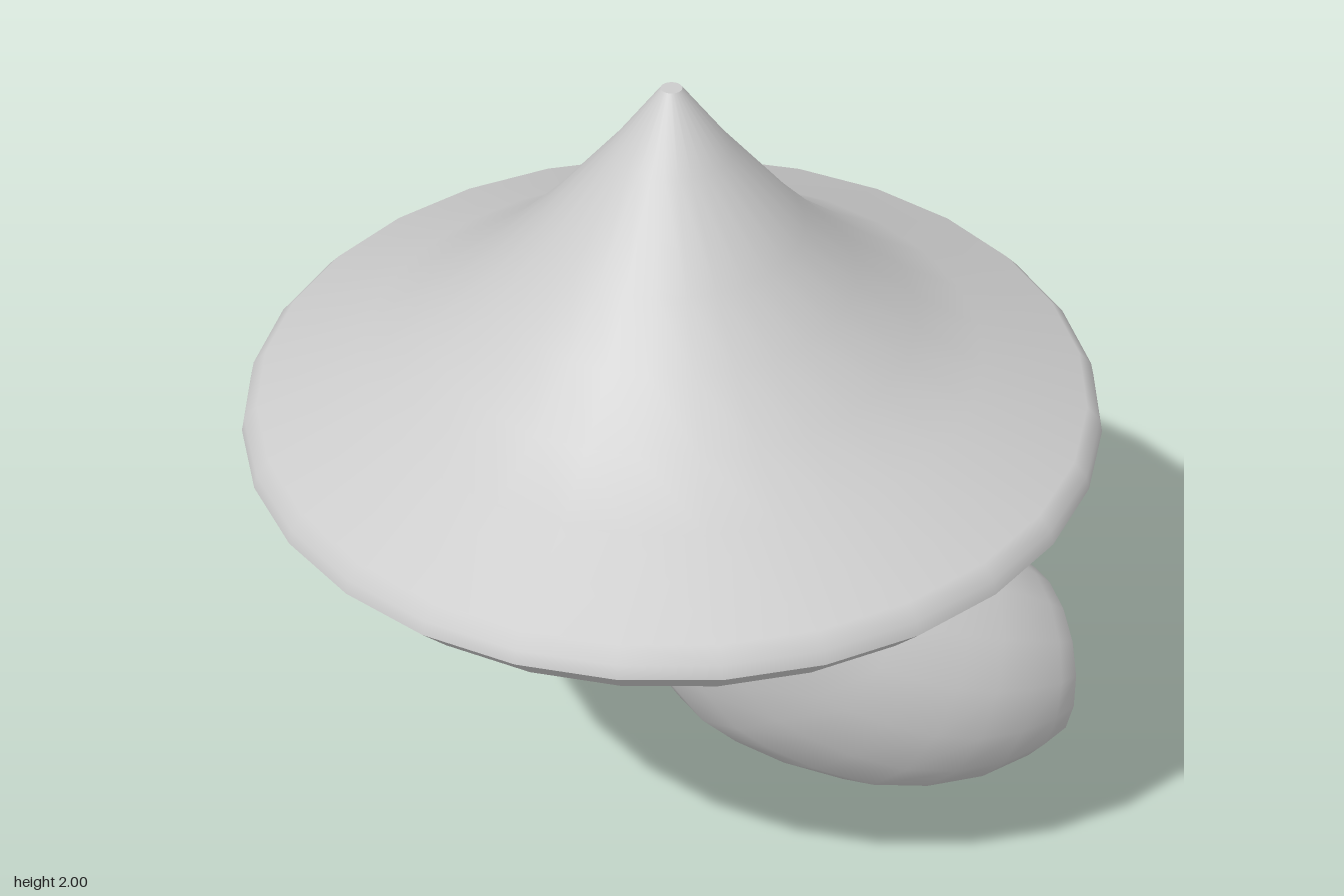
import * as THREE from 'three';

const material = new THREE.MeshStandardMaterial({ color: 0xcccccc });

function lathe(name, points) {
  const profile = points.map(([r, y]) => new THREE.Vector2(r, y));
  const mesh = new THREE.Mesh(new THREE.LatheGeometry(profile, 28), material);
  mesh.name = name;
  return mesh;
}

function meshFrom(name, positions, index) {
  const geometry = new THREE.BufferGeometry();
  geometry.setAttribute('position', new THREE.Float32BufferAttribute(positions, 3));
  geometry.setIndex(index);
  geometry.computeVertexNormals();
  const mesh = new THREE.Mesh(geometry, material);
  mesh.name = name;
  return mesh;
}

// Pointed cap, in pieces so that the rim and the underside keep sharp edges
function createCap() {
  const cap = new THREE.Group();
  cap.name = 'cap';
  cap.add(
    lathe('capUnderside', [[0, 1.045], [0.64, 1.045]]),
    lathe('capLowerRim', [[0.64, 1.045], [0.755, 1.07], [0.84, 1.14], [0.915, 1.22]]),
    lathe('capTop', [
      [0.915, 1.22], [0.908, 1.25], [0.88, 1.28], [0.655, 1.37], [0.515, 1.46],
      [0.385, 1.565], [0.275, 1.68], [0.125, 1.86], [0.022, 2],
    ]),
    lathe('capTip', [[0.022, 2], [0, 2]]),
  );
  cap.position.x = -0.025;
  return cap;
}

// Bent stem: each section has its inner point, outer point and half width
function createStem() {
  const sections = [
    [0.14, 1.09, -0.187, 1.09, 0.175],
    [0.157, 1.04, -0.185, 1.0, 0.187],
    [0.2, 0.94, -0.175, 0.88, 0.207],
    [0.29, 0.81, -0.145, 0.7, 0.237],
    [0.4, 0.72, -0.08, 0.5, 0.268],
    [0.46, 0.695, 0, 0.36, 0.285],
    [0.51, 0.683, 0.08, 0.275, 0.297],
    [0.57, 0.665, 0.2, 0.175, 0.308],
    [0.66, 0.63, 0.35, 0.08, 0.315],
    [0.74, 0.59, 0.5, 0.03, 0.31],
    [0.81, 0.55, 0.66, 0.005, 0.287],
    [0.88, 0.49, 0.8, 0.02, 0.247],
    [0.92, 0.45, 0.88, 0.045, 0.212],
    [0.935, 0.41, 0.9, 0.07, 0.172],
  ];
  const sides = 16;
  const positions = [];
  const index = [];
  sections.forEach(([tx, ty, bx, by, w], i) => {
    for (let j = 0; j < sides; j++) {
      const a = (j / sides) * Math.PI * 2;
      const c = Math.cos(a) / 2;
      positions.push((tx + bx) / 2 + c * (tx - bx), (ty + by) / 2 + c * (ty - by), w * Math.sin(a));
      if (i === sections.length - 1) continue;
      const p = i * sides + j;
      const q = i * sides + ((j + 1) % sides);
      index.push(p, q, p + sides, q, q + sides, p + sides);
    }
  });

  // Flat cut at the foot
  const foot = positions.slice(-sides * 3);
  const footIndex = [];
  for (let j = 1; j < sides - 1; j++) footIndex.push(0, j, j + 1);

  const stem = new THREE.Group();
  stem.name = 'stem';
  stem.add(meshFrom('stemBody', positions, index), meshFrom('stemFoot', foot, footIndex));
  stem.position.z = -0.025;
  return stem;
}

export function createModel() {
  const model = new THREE.Group();
  model.name = 'mushroom';
  model.add(createCap(), createStem());
  return model;
}
